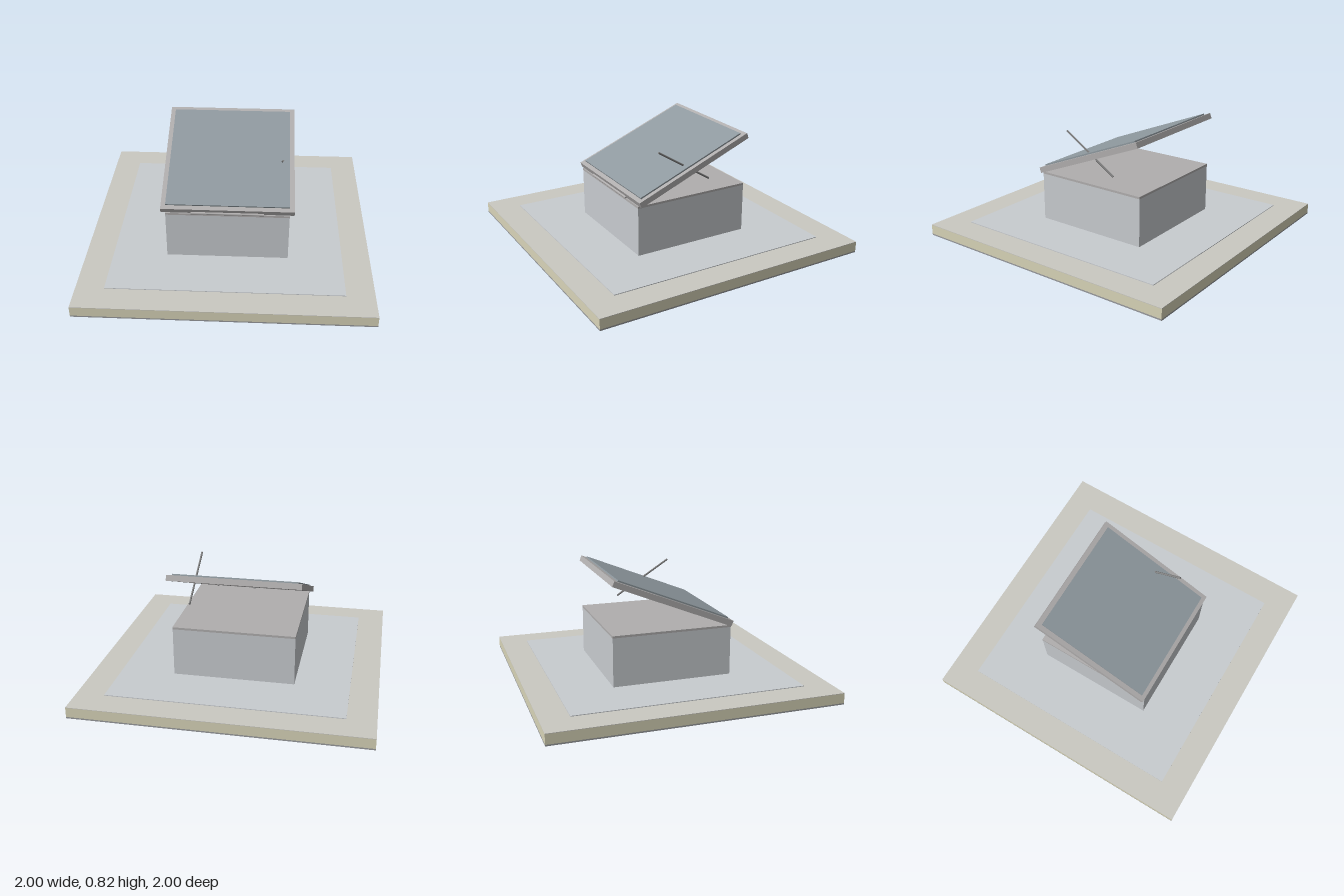
import * as THREE from 'three';

const mat = (color) => new THREE.MeshStandardMaterial({ color });
const steel = mat(0xb0aeae), sheet = mat(0xc8ccd0), glazing = mat(0x8f999f);
const insulation = mat(0xd8d4b8), roofing = mat(0xcac9c2), deckGrey = mat(0x9a9c9f), rodGrey = mat(0x808080);

function add(parent, name, geometry, material, x, y, z) {
  const mesh = new THREE.Mesh(geometry, material);
  mesh.name = name;
  mesh.position.set(x, y, z);
  parent.add(mesh);
  return mesh;
}

// Box centred on x and z, spanning two heights
function layer(parent, name, width, y0, y1, material) {
  return add(parent, name, new THREE.BoxGeometry(width, y1 - y0, width), material, 0, (y0 + y1) / 2, 0);
}

export function createModel() {
  const model = new THREE.Group();
  model.name = 'roofHatch';

  // Roof build-up
  layer(model, 'deck', 2, 0, 0.01, deckGrey);
  layer(model, 'insulationSlab', 2, 0.01, 0.077, insulation);
  layer(model, 'roofSurface', 2, 0.077, 0.081, roofing);
  layer(model, 'flashingFlange', 1.61, 0.081, 0.086, sheet);

  // Curb with its closed cap
  layer(model, 'curb', 0.85, 0.086, 0.43, sheet);
  layer(model, 'curbCap', 0.852, 0.43, 0.445, steel);

  // Lid, hinged at the front and propped open at the back
  const lid = new THREE.Group();
  lid.name = 'lid';
  lid.position.set(0, 0.634, 0);
  lid.rotation.x = THREE.MathUtils.degToRad(22);
  model.add(lid);
  layer(lid, 'lidFrame', 0.915, -0.02, 0.02, steel);
  layer(lid, 'lidPanel', 0.85, 0.02, 0.03, glazing);

  // Two studs under the lid
  for (const side of [-1, 1]) {
    add(lid, 'lidStud', new THREE.CylinderGeometry(0.006, 0.006, 0.014, 12), rodGrey, side * 0.125, -0.024, -0.32);
  }

  // Hinge barrel along the front edge
  const hinge = add(model, 'hinge', new THREE.CylinderGeometry(0.01, 0.01, 0.5, 16), steel, 0, 0.447, 0.42);
  hinge.rotation.z = Math.PI / 2;

  // Stay rod passing through the lid
  const low = new THREE.Vector3(0.37, 0.515, -0.165);
  const high = new THREE.Vector3(0.37, 0.77, 0.238);
  const span = high.clone().sub(low);
  const rod = add(model, 'stayRod', new THREE.CylinderGeometry(0.007, 0.007, span.length(), 12), rodGrey, 0, 0, 0);
  rod.position.copy(low).add(high).multiplyScalar(0.5);
  rod.quaternion.setFromUnitVectors(new THREE.Vector3(0, 1, 0), span.normalize());

  return model;
}
